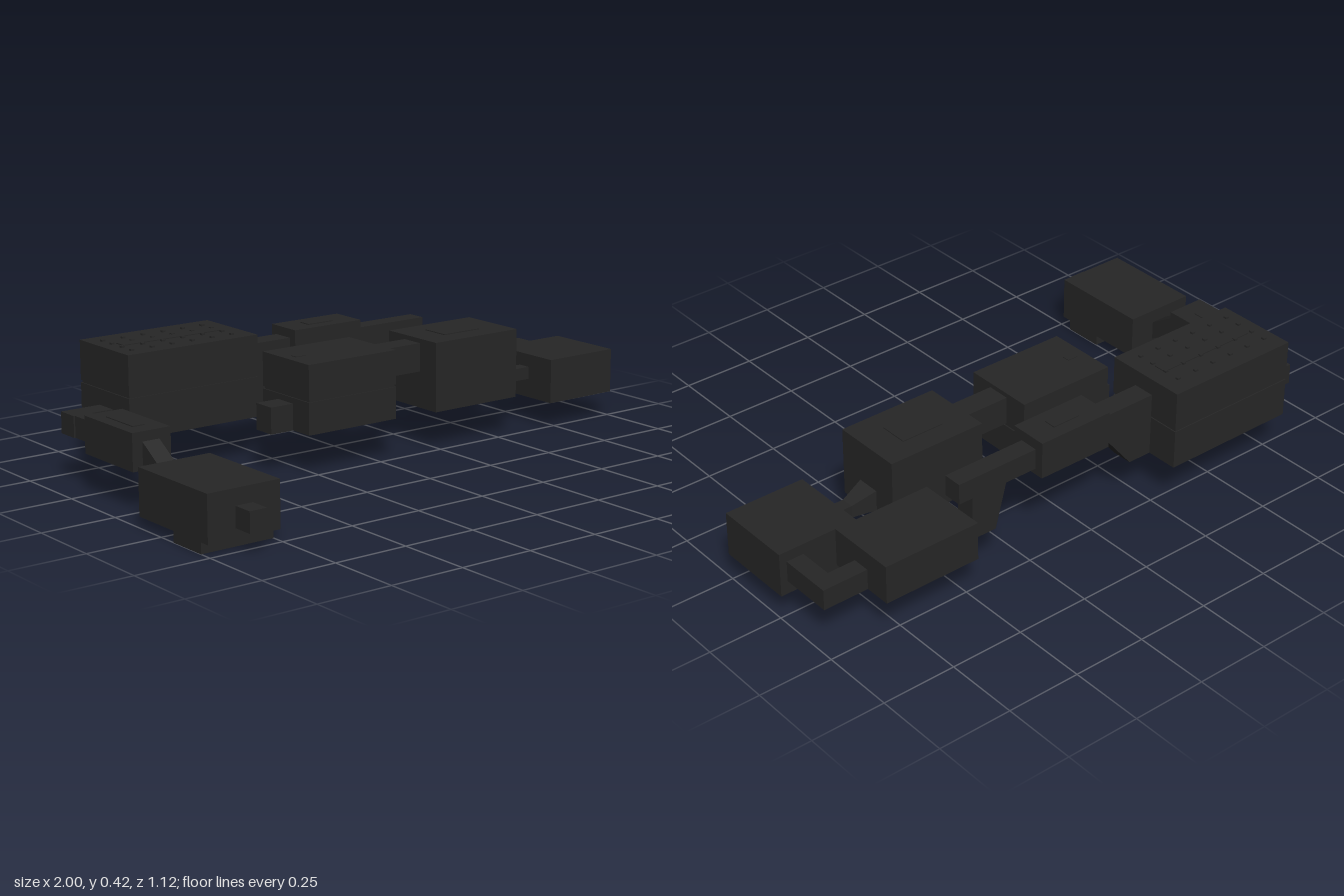
import * as THREE from 'three';

export function createModel() {
  const model = new THREE.Group();
  const mat = new THREE.MeshStandardMaterial({ color: 0x262626, flatShading: true });

  const add = (name, geo) => {
    const mesh = new THREE.Mesh(geo, mat);
    mesh.name = name;
    model.add(mesh);
    return mesh;
  };
  // box from its min and max on each axis
  const box = (name, x0, x1, y0, y1, z0, z1) =>
    add(name, new THREE.BoxGeometry(x1 - x0, y1 - y0, z1 - z0)
      .translate((x0 + x1) / 2, (y0 + y1) / 2, (z0 + z1) / 2));
  // outline in x,y pushed along z
  const prism = (name, pts, z0, z1) => {
    const shape = new THREE.Shape(pts.map(([x, y]) => new THREE.Vector2(x, y)));
    return add(name, new THREE.ExtrudeGeometry(shape, { depth: z1 - z0, bevelEnabled: false }).translate(0, 0, z0));
  };
  // room of two stacked halves with a thin recessed seam
  const splitRoom = (name, x0, x1, y0, y1, z0, z1, seam) => {
    const g = 0.004;
    box(name + 'Lower', x0, x1, y0, seam - g, z0, z1);
    box(name + 'Upper', x0, x1, seam + g, y1, z0, z1);
    box(name + 'Seam', x0 + g, x1 - g, seam - g, seam + g, z0 + g, z1 - g);
  };

  // Entrance room with its stepped underside
  box('entranceRoom', -1, -0.75, 0.035, 0.185, 0.135, 0.49);
  box('entrancePlinth', -1, -0.75, 0, 0.035, 0.315, 0.455);
  box('entrancePlinthStep', -0.94, -0.81, 0, 0.035, 0.255, 0.315);
  box('entrancePeg', -0.885, -0.865, 0.018, 0.035, 0.22, 0.232);
  box('entranceStub', -0.905, -0.845, 0.067, 0.133, 0.49, 0.56);

  // Ramp climbing from the entrance room, drawn in z,y then turned
  const ramp = new THREE.Shape([[0.14, 0.07], [0.14, 0.135], [0, 0.225], [0, 0.155]]
    .map(([z, y]) => new THREE.Vector2(-z, y)));
  add('ramp', new THREE.ExtrudeGeometry(ramp, { depth: 0.06, bevelEnabled: false })
    .rotateY(Math.PI / 2).translate(-0.905, 0, 0));

  // West junction and corner corridor
  box('westJunction', -0.94, -0.805, 0.13, 0.25, -0.26, 0.01);
  box('westJunctionPanel', -0.9, -0.858, 0.25, 0.253, -0.2, -0.05);
  box('westCorridor', -0.905, -0.845, 0.15, 0.22, -0.38, -0.26);
  box('westCornerCorridor', -0.91, -0.77, 0.15, 0.22, -0.45, -0.375);

  // Great hall with studs on its roof
  splitRoom('greatHall', -0.77, -0.285, 0.14, 0.41, -0.56, -0.275, 0.276);
  box('greatHallPanel', -0.71, -0.345, 0.41, 0.413, -0.44, -0.397);
  box('greatHallPeg', -0.73, -0.718, 0.134, 0.14, -0.33, -0.318);
  for (let i = 0; i < 6; i++) {
    for (const z of [-0.495, -0.44, -0.38, -0.325]) {
      const x = -0.725 + i * 0.075;
      box('roofStud', x - 0.006, x + 0.006, 0.41, 0.416, z - 0.006, z + 0.006);
    }
  }

  // High rear corridor with its junction and sloping shafts
  box('rearCorridorWest', -0.285, -0.085, 0.28, 0.355, -0.45, -0.375);
  box('rearJunction', -0.085, 0.185, 0.26, 0.385, -0.475, -0.345);
  box('rearJunctionPanel', 0, 0.1, 0.385, 0.388, -0.43, -0.387);
  box('rearCorridorEast', 0.185, 0.48, 0.28, 0.35, -0.445, -0.38);
  prism('westShaft', [[-0.285, 0.14], [-0.2, 0.14], [-0.085, 0.28], [-0.285, 0.28]], -0.45, -0.378);
  prism('eastShaft', [[0.34, 0.13], [0.43, 0.13], [0.43, 0.28], [0.3, 0.28]], -0.445, -0.377);

  // Rear east room and corner corridor
  box('rearEastRoom', 0.478, 0.818, 0.13, 0.26, -0.53, -0.288);
  box('eastCornerCorridor', 0.818, 0.975, 0.13, 0.2, -0.44, -0.38);
  box('eastCorridor', 0.915, 0.975, 0.13, 0.2, -0.4, -0.26);

  // East room and tapered passage to the middle room
  box('eastRoom', 0.722, 1, 0.085, 0.235, -0.26, 0.012);
  const passage = new THREE.BoxGeometry(0.08, 0.07, 0.08);
  const p = passage.attributes.position;
  for (let i = 0; i < p.count; i++) {
    if (p.getX(i) > 0) p.setXYZ(i, p.getX(i), p.getY(i) * 0.6 - 0.015, p.getZ(i) * 0.55);
  }
  passage.translate(0.615, 0.185, -0.124);
  add('taperedPassage', passage);
  box('narrowPassage', 0.655, 0.722, 0.149, 0.191, -0.146, -0.102);

  // Middle room with a raised hatch
  box('middleRoom', 0.228, 0.575, 0.128, 0.36, -0.245, 0);
  box('middleRoomHatch', 0.325, 0.475, 0.36, 0.363, -0.172, -0.075);
  box('innerCorridor', 0.06, 0.228, 0.25, 0.345, -0.163, -0.083);

  // Last room, its roof cap and exit stub
  splitRoom('lastRoom', -0.285, 0.062, 0.133, 0.36, -0.247, 0, 0.243);
  box('lastRoomCap', -0.252, -0.214, 0.36, 0.362, -0.138, -0.112);
  box('exitStub', -0.37, -0.285, 0.133, 0.22, -0.165, -0.085);

  return model;
}
